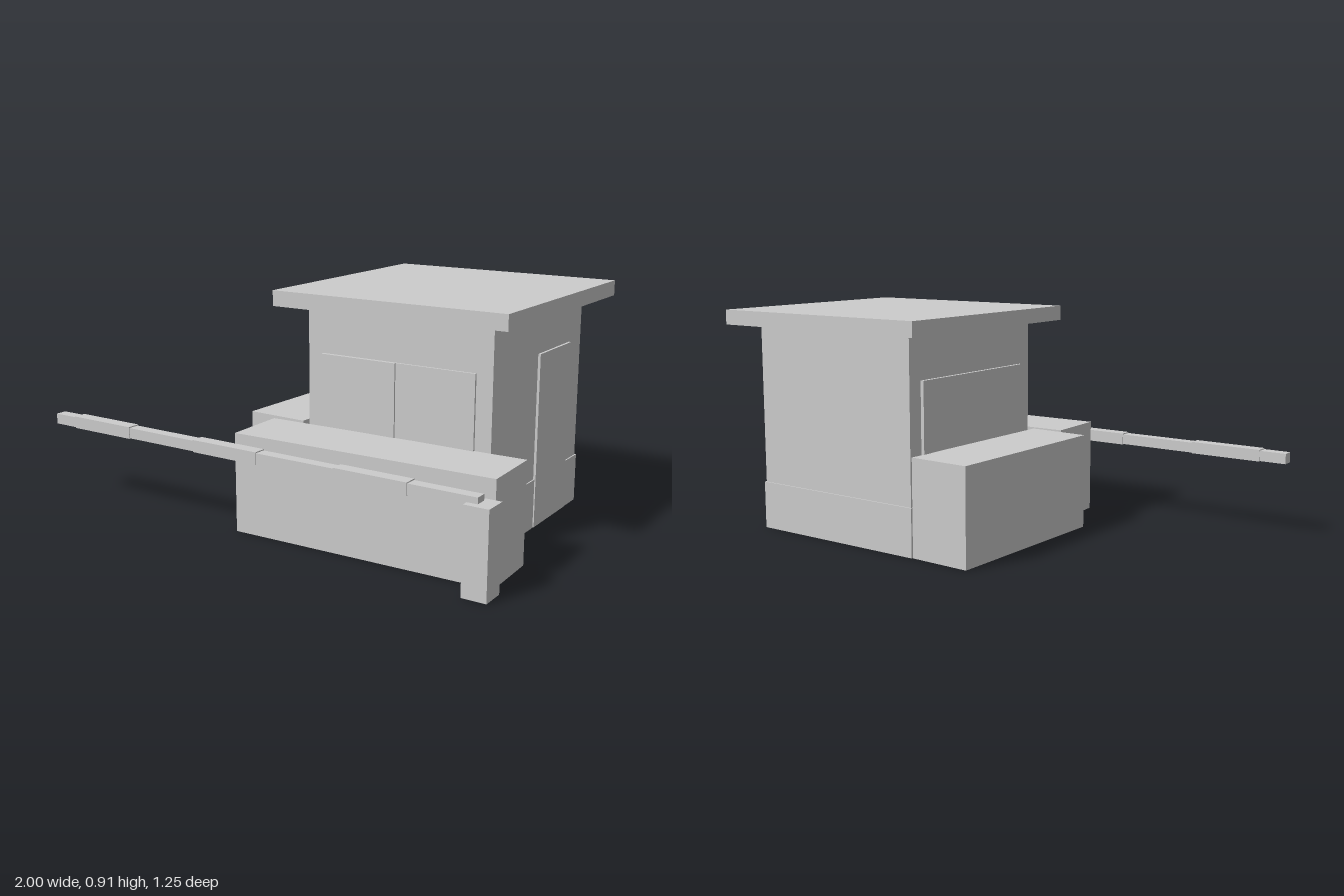
import * as THREE from 'three';

export function createModel() {
  const model = new THREE.Group();
  model.name = 'checkpointBooth';
  const grey = new THREE.MeshStandardMaterial({ color: 0xcccccc });
  grey.name = 'plain grey';

  // Box given by its extents on each axis
  function block(name, [x0, x1], [y0, y1], [z0, z1], turn = 0) {
    const mesh = new THREE.Mesh(new THREE.BoxGeometry(x1 - x0, y1 - y0, z1 - z0), grey);
    mesh.position.set((x0 + x1) / 2, (y0 + y1) / 2, (z0 + z1) / 2);
    mesh.rotation.y = turn;
    mesh.name = name;
    model.add(mesh);
    return mesh;
  }

  // Booth
  block('boothWalls', [0.04, 0.82], [0, 0.85], [-0.525, 0.255]);
  block('wallSkirting', [0.035, 0.825], [0, 0.195], [-0.531, 0.257]);
  block('roof', [-0.06, 0.915], [0.85, 0.91], [-0.625, 0.35]);
  block('door', [0.81, 0.83], [0.003, 0.685], [-0.41, -0.12]);

  // Sliding front window, one pane in front of the other
  block('frontWindowOuterPane', [0.105, 0.43], [0.35, 0.672], [0.25, 0.271]);
  block('frontWindowInnerPane', [0.43, 0.755], [0.35, 0.672], [0.25, 0.264]);
  block('sideWindow', [0.026, 0.045], [0.35, 0.672], [-0.46, 0.19]);

  // Low barriers, set slightly askew
  block('frontBarrier', [-0.107, 0.962], [0, 0.39], [0.267, 0.524], 0.031);
  block('sideBarrier', [-0.238, 0.02], [0, 0.39], [-0.531, 0.249], -0.031);

  // Boom gate with slightly thicker sleeves
  block('gatePost', [0.905, 1], [0, 0.325], [0.53, 0.625]);
  block('gateArm', [-1, 0.945], [0.306, 0.348], [0.552, 0.598]);
  for (const end of [-0.59, 0.04, 0.68]) {
    block('gateArmSleeve', [end - 0.3, end], [0.304, 0.352], [0.549, 0.601]);
  }
  return model;
}
